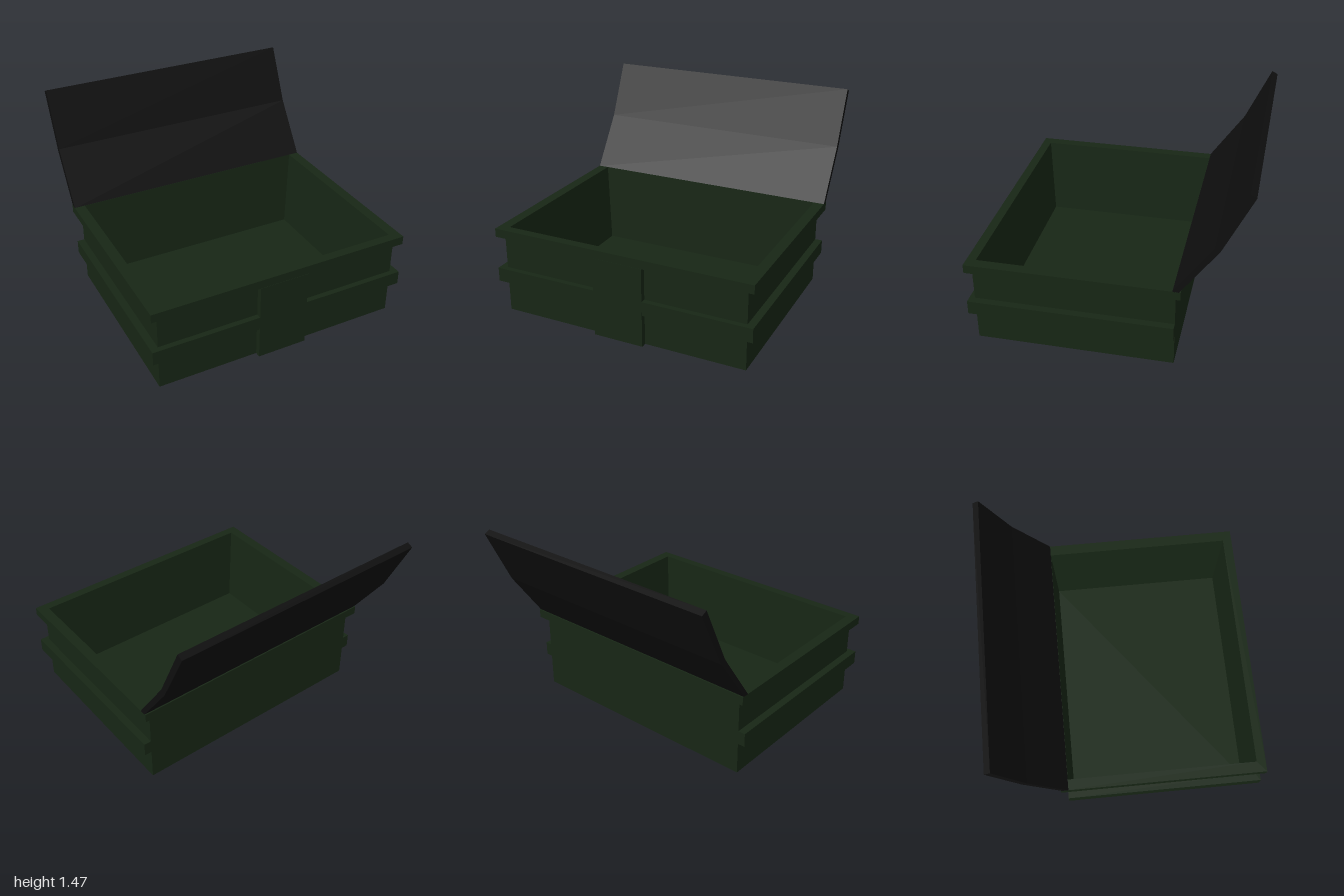
import * as THREE from 'three';

const green = new THREE.MeshStandardMaterial({ color: 0x172615, flatShading: true });
const black = new THREE.MeshStandardMaterial({ color: 0x0e0e0e, flatShading: true });

// Flat-sided shell through rectangles [halfWidth, zBack, zFront, y]; first and last are capped.
function rectLoft(rings) {
  const pos = [];
  const corners = ([w, b, f, y]) => [[-w, y, f], [w, y, f], [w, y, b], [-w, y, b]];
  const quad = (a, b, c, d) => pos.push(...a, ...b, ...c, ...a, ...c, ...d);
  const loops = rings.map(corners);
  for (let i = 0; i < loops.length - 1; i++) {
    for (let k = 0; k < 4; k++) {
      const n = (k + 1) % 4;
      quad(loops[i][k], loops[i][n], loops[i + 1][n], loops[i + 1][k]);
    }
  }
  const [p, q, r, s] = loops[0];
  quad(s, r, q, p);
  quad(...loops[loops.length - 1]);
  const geo = new THREE.BufferGeometry();
  geo.setAttribute('position', new THREE.Float32BufferAttribute(pos, 3));
  geo.computeVertexNormals();
  return geo;
}

function extrude(points, depth) {
  const shape = new THREE.Shape(points.map(([x, y]) => new THREE.Vector2(x, y)));
  return new THREE.ExtrudeGeometry(shape, { depth, bevelEnabled: false });
}

export function createModel() {
  const group = new THREE.Group();
  const add = (name, geo, mat) => {
    const mesh = new THREE.Mesh(geo, mat);
    mesh.name = name;
    group.add(mesh);
    return mesh;
  };

  // Open box: outer walls, overhanging rim, tapered cavity and floor
  add('openBox', rectLoft([
    [0.945, -0.505, 0.945, 0],
    [0.945, -0.505, 0.945, 0.6],
    [1, -0.545, 0.985, 0.6],
    [1, -0.545, 0.985, 0.665],
    [0.92, -0.487, 0.917, 0.665],
    [0.887, -0.467, 0.89, 0.03],
  ]), green);

  // Band around the sides and front, open at the back (shape drawn in x, -z)
  const band = add('band', extrude([
    [-1, 0.505], [-1, -0.985], [1, -0.985], [1, 0.505],
    [0.94, 0.505], [0.94, -0.94], [-0.94, -0.94], [-0.94, 0.505],
  ], 0.105), green);
  band.rotation.x = -Math.PI / 2;
  band.position.y = 0.245;

  // Upright panel in the middle of the front
  const panel = add('frontPanel', new THREE.BoxGeometry(0.38, 0.6, 0.048), green);
  panel.position.set(0, 0.3, 0.963);

  // Open lid bent along its middle (shape drawn in -z, y)
  const lid = add('lid', extrude([
    [0.487, 0.663], [0.533, 0.663], [0.79, 1.025],
    [0.99, 1.443], [0.947, 1.465], [0.755, 1.05],
  ], 2), black);
  lid.rotation.y = Math.PI / 2;
  lid.position.x = -1;

  return group;
}
